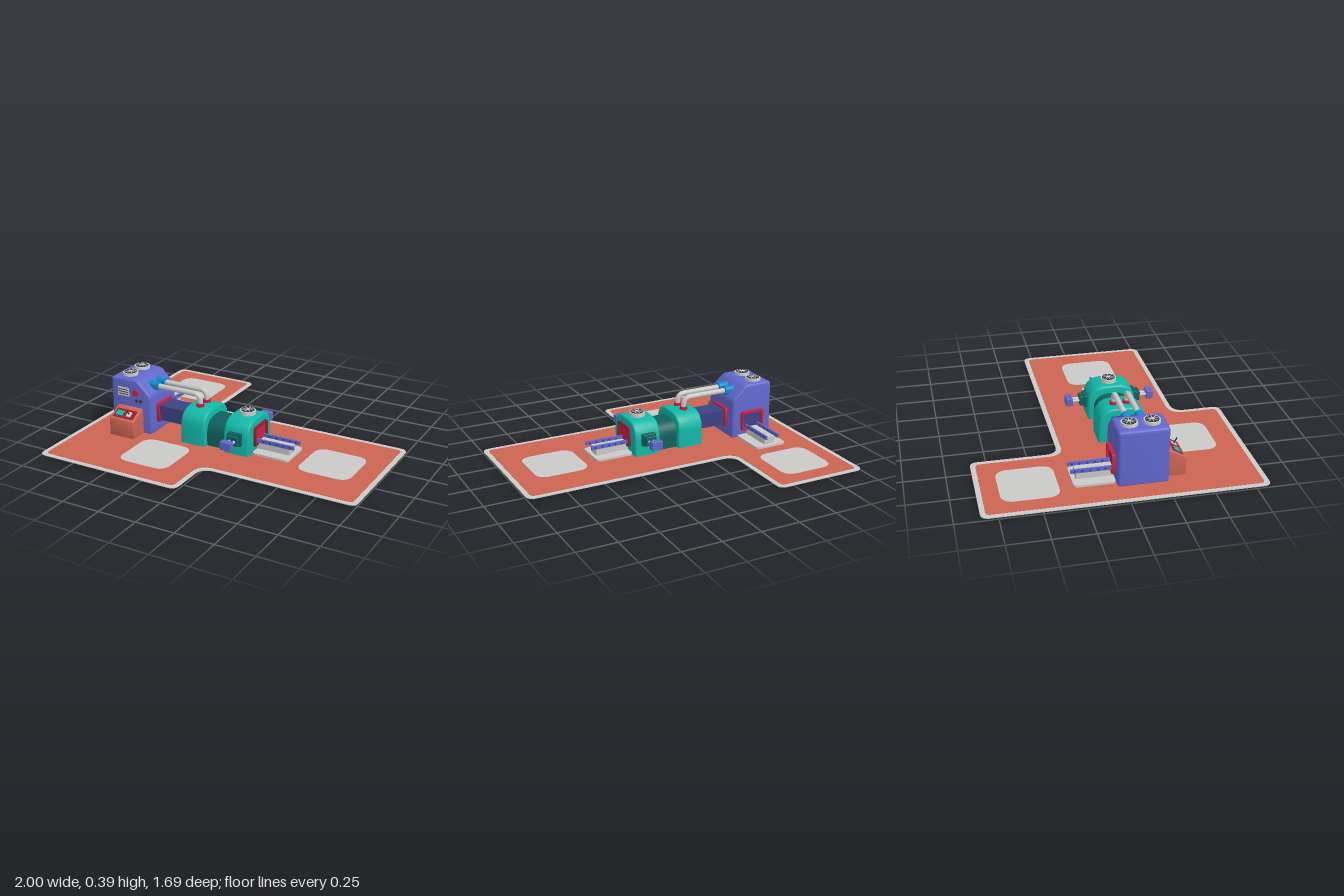
import * as THREE from 'three';
import { toCreasedNormals } from 'three/addons/utils/BufferGeometryUtils.js';
import { RoundedBoxGeometry } from 'three/addons/geometries/RoundedBoxGeometry.js';

const mat = (name, color) => new THREE.MeshStandardMaterial({ name, color });

export function createModel() {
  const M = {
    grey: mat('light grey', 0xc9c9c7), orange: mat('floor orange', 0xcb6452),
    blue: mat('cabinet blue', 0x6068cc), navy: mat('dark blue', 0x3c4284),
    teal: mat('teal', 0x10b8a8), darkTeal: mat('dark teal', 0x0f615b),
    crimson: mat('crimson', 0xcf1d42), sky: mat('sky blue', 0x108ccf),
    dark: mat('charcoal', 0x33383c), darkRed: mat('dark red', 0x8f2233),
  };
  const root = new THREE.Group();
  root.name = 'machine';

  const add = (name, geo, m, x = 0, y = 0, z = 0, parent = root) => {
    const mesh = new THREE.Mesh(geo, m);
    mesh.name = name;
    mesh.position.set(x, y, z);
    parent.add(mesh);
    return mesh;
  };
  const group = (name, parent = root) => {
    const g = new THREE.Group();
    g.name = name;
    parent.add(g);
    return g;
  };
  // box given by its limits on each axis
  const box = (name, m, x0, x1, y0, y1, z0, z1, parent = root, r = 0) => {
    const s = [x1 - x0, y1 - y0, z1 - z0];
    const geo = r ? new RoundedBoxGeometry(...s, 2, r) : new THREE.BoxGeometry(...s);
    return add(name, geo, m, (x0 + x1) / 2, (y0 + y1) / 2, (z0 + z1) / 2, parent);
  };
  // polygon of [x, y, cornerRadius]
  const outline = (pts) => {
    const s = new THREE.Shape(), n = pts.length;
    const toward = (a, b, r) => {
      const l = Math.hypot(b[0] - a[0], b[1] - a[1]);
      return [a[0] + (b[0] - a[0]) * r / l, a[1] + (b[1] - a[1]) * r / l];
    };
    pts.forEach((p, i) => {
      const a = toward(p, pts[(i + n - 1) % n], p[2]), b = toward(p, pts[(i + 1) % n], p[2]);
      if (i) s.lineTo(...a); else s.moveTo(...a);
      if (p[2]) s.quadraticCurveTo(p[0], p[1], ...b);
    });
    s.closePath();
    return s;
  };
  const extrude = (shape, depth, bevel = 0) => {
    const geo = new THREE.ExtrudeGeometry(shape, {
      depth: depth - 2 * bevel, curveSegments: 8, bevelEnabled: bevel > 0,
      bevelThickness: bevel, bevelSize: bevel, bevelOffset: -bevel, bevelSegments: 3,
    });
    geo.translate(0, 0, bevel);
    return toCreasedNormals(geo, 0.6);
  };
  // flat slab: outline given as [x, z, radius], running from y0 to y1
  const slab = (name, m, pts, y0, y1, parent = root) =>
    add(name, extrude(outline(pts.map(([x, z, r]) => [x, -z, r])), y1 - y0).rotateX(-Math.PI / 2), m, 0, y0, 0, parent);
  const rect = (x0, x1, z0, z1, r) => [[x0, z1, r], [x1, z1, r], [x1, z0, r], [x0, z0, r]];
  // prism along x: outline given as [z, y, radius]
  const prismX = (name, m, pts, x0, x1, bevel, parent = root) =>
    add(name, extrude(outline(pts.map(([z, y, r]) => [-z, y, r])), x1 - x0, bevel).rotateY(Math.PI / 2), m, x0, 0, 0, parent);

  // floor: border, coloured field and pads
  const floor = group('floor');
  const floorPts = (d, r, rc) => [
    [-1 + d, 0.84 - d, r], [-0.005 - d, 0.84 - d, r], [-0.005 - d, 0.53 - d, rc], [1 - d, 0.53 - d, r],
    [1 - d, -0.31 + d, r], [-0.39 - d, -0.31 + d, rc], [-0.39 - d, -0.85 + d, r], [-1 + d, -0.85 + d, r]];
  slab('floorBorder', M.grey, floorPts(0, 0.05, 0.08), 0.010, 0.0145, floor);
  slab('floorField', M.orange, floorPts(0.031, 0.03, 0.1), 0.0145, 0.016, floor);
  for (const [x, z] of [[-0.695, -0.545], [0.668, 0.105], [-0.362, 0.498]])
    slab('floorPad', M.grey, rect(x - 0.173, x + 0.173, z - 0.173, z + 0.173, 0.08), 0.016, 0.0175, floor);

  // round vent with a bladed fan face
  const vent = (x, y, z, h) => {
    const g = group('roofVent');
    g.position.set(x, y, z);
    add('ventRing', new THREE.CylinderGeometry(0.05, 0.052, h, 32), M.grey, 0, h / 2, 0, g);
    add('ventFace', new THREE.CylinderGeometry(0.041, 0.041, 0.003, 32), M.dark, 0, h + 0.001, 0, g);
    add('ventHub', new THREE.CylinderGeometry(0.01, 0.01, 0.004, 16), M.grey, 0, h + 0.003, 0, g);
    for (let i = 0; i < 8; i++) {
      const blade = add('ventBlade', new THREE.BoxGeometry(0.028, 0.003, 0.005).translate(0.023, 0, 0), M.grey, 0, h + 0.0025, 0, g);
      blade.rotation.y = i * Math.PI / 4;
    }
  };

  // square port: frame open in the middle, facing +z before turning
  const port = (name, w, h, depth, fill, x, y, z, turn) => {
    const g = group(name);
    g.position.set(x, y, z);
    g.rotation.y = turn;
    const ring = (a, b, r) => [[-a, -b, r], [a, -b, r], [a, b, r], [-a, b, r]];
    const s = outline(ring(w / 2, h / 2, 0.015));
    s.holes.push(outline(ring(w / 2 - 0.014, h / 2 - 0.014, 0.01)));
    add('portFrame', extrude(s, depth), fill === M.crimson ? M.darkRed : M.crimson, 0, 0, 0, g);
    add('portFace', new THREE.BoxGeometry(w - 0.02, h - 0.02, 0.006), fill, 0, 0, 0.003, g);
  };

  // conveyor running out along +x from the origin of its group
  const conveyor = (x, z, turn) => {
    const g = group('conveyor');
    g.position.set(x, 0, z);
    g.rotation.y = turn;
    slab('conveyorBase', M.grey, rect(0, 0.25, -0.11, 0.11, 0.025), 0.015, 0.03, g);
    box('conveyorBed', M.grey, 0, 0.225, 0.03, 0.078, -0.038, 0.038, g);
    for (const side of [-1, 1]) {
      box('conveyorRail', M.blue, 0, 0.26, 0.076, 0.1, side * 0.044 - 0.006, side * 0.044 + 0.006, g);
      for (let i = 0; i < 5; i++)
        add('railStud', new THREE.CylinderGeometry(0.007, 0.007, 0.015, 12).rotateX(Math.PI / 2), M.navy, 0.05 + i * 0.046, 0.088, side * 0.044, g);
    }
  };

  // control cabinet with a sloped shoulder
  add('cabinet', extrude(outline([
    [-0.838, 0.009, 0.012], [-0.545, 0.009, 0.012], [-0.545, 0.275, 0.025], [-0.645, 0.37, 0.025], [-0.838, 0.37, 0.025],
  ]), 0.305, 0.015), M.blue, 0, 0, -0.038);
  vent(-0.745, 0.368, 0.045, 0.02);
  vent(-0.745, 0.368, 0.18, 0.02);
  box('grille', M.grey, -0.787, -0.702, 0.25, 0.31, 0.262, 0.272);
  for (let i = 0; i < 3; i++)
    box('grilleSlot', M.dark, -0.78, -0.709, 0.263 + i * 0.015, 0.267 + i * 0.015, 0.27, 0.274);
  const button = (name, m, x, y, r, h) =>
    add(name, new THREE.CylinderGeometry(r, r, h, 20).rotateX(Math.PI / 2), m, x, y, 0.266 + h / 2);
  button('redButton', M.crimson, -0.645, 0.288, 0.02, 0.018);
  button('smallButton', M.dark, -0.645, 0.233, 0.01, 0.008);
  button('smallButton', M.dark, -0.613, 0.233, 0.01, 0.008);

  // operator console with a sloped panel
  prismX('console', M.orange, [[0.262, 0, 0], [0.385, 0, 0.008], [0.385, 0.13, 0.008], [0.29, 0.185, 0.01], [0.262, 0.185, 0]], -0.783, -0.6, 0.006);
  const panel = group('consolePanel');
  panel.position.set(-0.69, 0.1575, 0.3375);
  panel.rotation.x = Math.atan2(0.055, 0.095);
  box('panelPlate', M.darkRed, -0.075, 0.075, -0.003, 0.003, -0.035, 0.035, panel);
  box('screen', M.teal, -0.063, -0.01, 0.003, 0.006, -0.018, 0.02, panel);
  box('leverPlate', M.grey, 0.015, 0.048, 0.003, 0.006, -0.018, 0.02, panel);
  add('lever', new THREE.CylinderGeometry(0.004, 0.004, 0.04, 10), M.dark, 0.031, 0.024, 0, panel);

  // link duct between cabinet and tunnel
  box('linkDuct', M.navy, -0.55, -0.31, 0.09, 0.19, 0.04, 0.18);
  port('ductCollar', 0.165, 0.13, 0.02, M.navy, -0.546, 0.14, 0.11, Math.PI / 2);

  // arched tunnel
  const arch = (half, top, r) => [[0.115 - half, 0.009, 0], [0.115 + half, 0.009, 0], [0.115 + half, top, r], [0.115 - half, top, r]];
  prismX('tunnelArch', M.teal, arch(0.153, 0.238, 0.12), -0.316, -0.142, 0.012);
  prismX('tunnelArch', M.teal, arch(0.153, 0.238, 0.12), -0.004, 0.17, 0.012);
  prismX('tunnelMiddle', M.darkTeal, arch(0.118, 0.19, 0.1), -0.16, 0.01, 0);
  vent(0.085, 0.232, 0.112, 0.03);

  // end ports and conveyors
  port('tunnelPort', 0.165, 0.13, 0.016, M.crimson, 0.169, 0.124, 0.115, Math.PI / 2);
  port('cabinetPort', 0.165, 0.13, 0.022, M.navy, -0.69, 0.124, -0.037, Math.PI);
  conveyor(0.17, 0.11, 0);
  conveyor(-0.69, -0.04, Math.PI / 2);

  // side actuators on both flanks of the tunnel
  for (const s of [1, -1]) {
    const g = group('actuator');
    g.position.set(0.081, 0.124, 0.115);
    if (s < 0) g.rotation.y = Math.PI;
    box('actuatorFlange', M.darkTeal, -0.047, 0.047, -0.04, 0.04, 0.14, 0.175, g, 0.006);
    box('actuatorSeat', M.darkTeal, -0.037, 0.037, -0.03, 0.03, 0.17, 0.2, g, 0.005);
    for (const x of [-0.016, 0.016])
      add('actuatorRod', new THREE.CylinderGeometry(0.009, 0.009, 0.06, 14).rotateX(Math.PI / 2), M.grey, x, 0, 0.22, g);
    box('actuatorHead', M.blue, -0.037, 0.037, -0.027, 0.027, 0.244, 0.288, g, 0.004);
  }

  // twin pipes from cabinet shoulder to tunnel
  for (const z of [0.073, 0.155]) {
    const path = new THREE.CurvePath();
    const v = (x, y) => new THREE.Vector3(x, y, z);
    path.add(new THREE.LineCurve3(v(-0.56, 0.315), v(-0.285, 0.315)));
    path.add(new THREE.QuadraticBezierCurve3(v(-0.285, 0.315), v(-0.235, 0.315), v(-0.235, 0.268)));
    path.add(new THREE.LineCurve3(v(-0.235, 0.268), v(-0.235, 0.235)));
    add('pipe', new THREE.TubeGeometry(path, 48, 0.017, 16), M.grey);
    add('pipeCollar', new THREE.CylinderGeometry(0.024, 0.026, 0.03, 20), M.crimson, -0.235, 0.242, z);
    const nozzle = [[0, -0.04], [0.016, -0.036], [0.027, -0.01], [0.029, 0.01], [0.029, 0.075], [0.016, 0.075]]
      .map(([r, h]) => new THREE.Vector2(r, h));
    add('pipeSocket', toCreasedNormals(new THREE.LatheGeometry(nozzle, 20), 0.8).rotateZ(-Math.PI / 2), M.sky, -0.615, 0.315, z);
  }
  return root;
}
